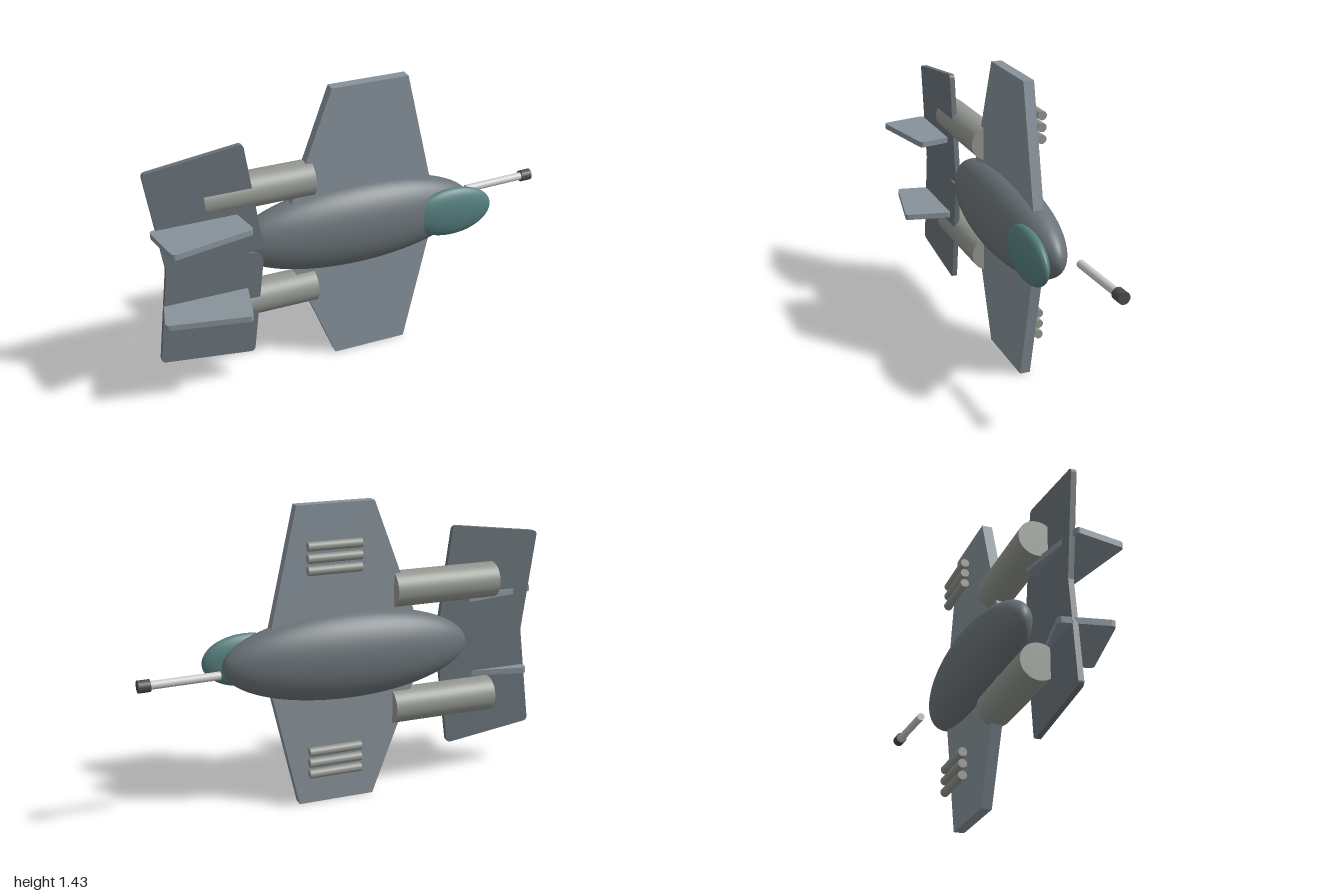
import * as THREE from 'three';

const MID = 0.72; // height of the craft's centre line; it stands on one wingtip
const mat = (color) => new THREE.MeshStandardMaterial({ color });

export function createModel() {
  const model = new THREE.Group();
  const hull = mat(0x6b7378), wingPaint = mat(0x87929a), tailPaint = mat(0x697278);
  const metal = mat(0x92968f), canopyPaint = mat(0x55807f), light = mat(0xcccccc), dark = mat(0x4a4d4d);

  const add = (name, geometry, material, x, y, z, parent = model) => {
    const mesh = new THREE.Mesh(geometry, material);
    mesh.name = name;
    mesh.position.set(x, y, z);
    parent.add(mesh);
    return mesh;
  };
  const ellipsoid = (rx, ry, rz) =>
    new THREE.SphereGeometry(1, 64, 40).rotateZ(-Math.PI / 2).scale(rx, ry, rz);
  const rod = (radius, length) =>
    new THREE.CylinderGeometry(radius, radius, length, 40).rotateZ(-Math.PI / 2);
  const slab = (shape, depth) =>
    new THREE.ExtrudeGeometry(shape, { depth, bevelEnabled: false, curveSegments: 6 })
      .translate(0, 0, -depth / 2);

  // Flat plate with rounded corners, centred on the origin
  const plate = (w, h, r, depth) => {
    const s = new THREE.Shape(), a = w / 2 - r, b = h / 2 - r;
    s.absarc(a, b, r, 0, Math.PI / 2);
    s.absarc(-a, b, r, Math.PI / 2, Math.PI);
    s.absarc(-a, -b, r, Math.PI, Math.PI * 1.5);
    s.absarc(a, -b, r, Math.PI * 1.5, Math.PI * 2);
    s.closePath();
    return slab(s, depth);
  };

  // Body and canopy
  add('fuselage', ellipsoid(0.6, 0.21, 0.142), hull, 0, MID, -0.083);
  add('canopy', ellipsoid(0.205, 0.125, 0.048), canopyPaint, 0.465, MID, 0.009);

  // Swept wing, one piece through the body
  const wing = new THREE.Shape([
    [-0.12, 0.715], [-0.33, 0.16], [-0.33, -0.16], [-0.12, -0.715],
    [0.25, -0.715], [0.375, -0.16], [0.375, 0.16], [0.25, 0.715],
  ].map(([x, y]) => new THREE.Vector2(x, y)));
  add('wing', slab(wing, 0.05), wingPaint, 0, MID, -0.079);

  // Parts repeated on both sides
  for (const side of [1, -1]) {
    add('engine', rod(0.084, 0.52), metal, -0.48, MID + side * 0.288, -0.079);

    const tail = plate(0.454, 0.543, 0.02, 0.025).rotateZ(side * 0.131);
    add('tailplane', tail, tailPaint, -0.74, MID + side * 0.251, -0.018);

    const fin = plate(0.39, 0.235, 0.018, 0.028).rotateZ(-side * 0.2).rotateX(Math.PI / 2);
    add('tailFin', fin, wingPaint, -0.78, MID + side * 0.199, 0.068);

    for (let i = 0; i < 3; i++) {
      add('missile', rod(0.021, 0.255), metal, 0.092, MID + side * (0.431 + i * 0.055), -0.161);
    }
  }

  // Nose gun, tilted slightly
  const gun = new THREE.Group();
  gun.name = 'noseGun';
  gun.position.set(0.63, MID, -0.164);
  gun.rotation.y = 0.04;
  add('barrel', rod(0.019, 0.32), light, 0.16, 0, 0, gun);
  add('muzzle', rod(0.028, 0.055), dark, 0.342, 0, 0, gun);
  model.add(gun);

  return model;
}
